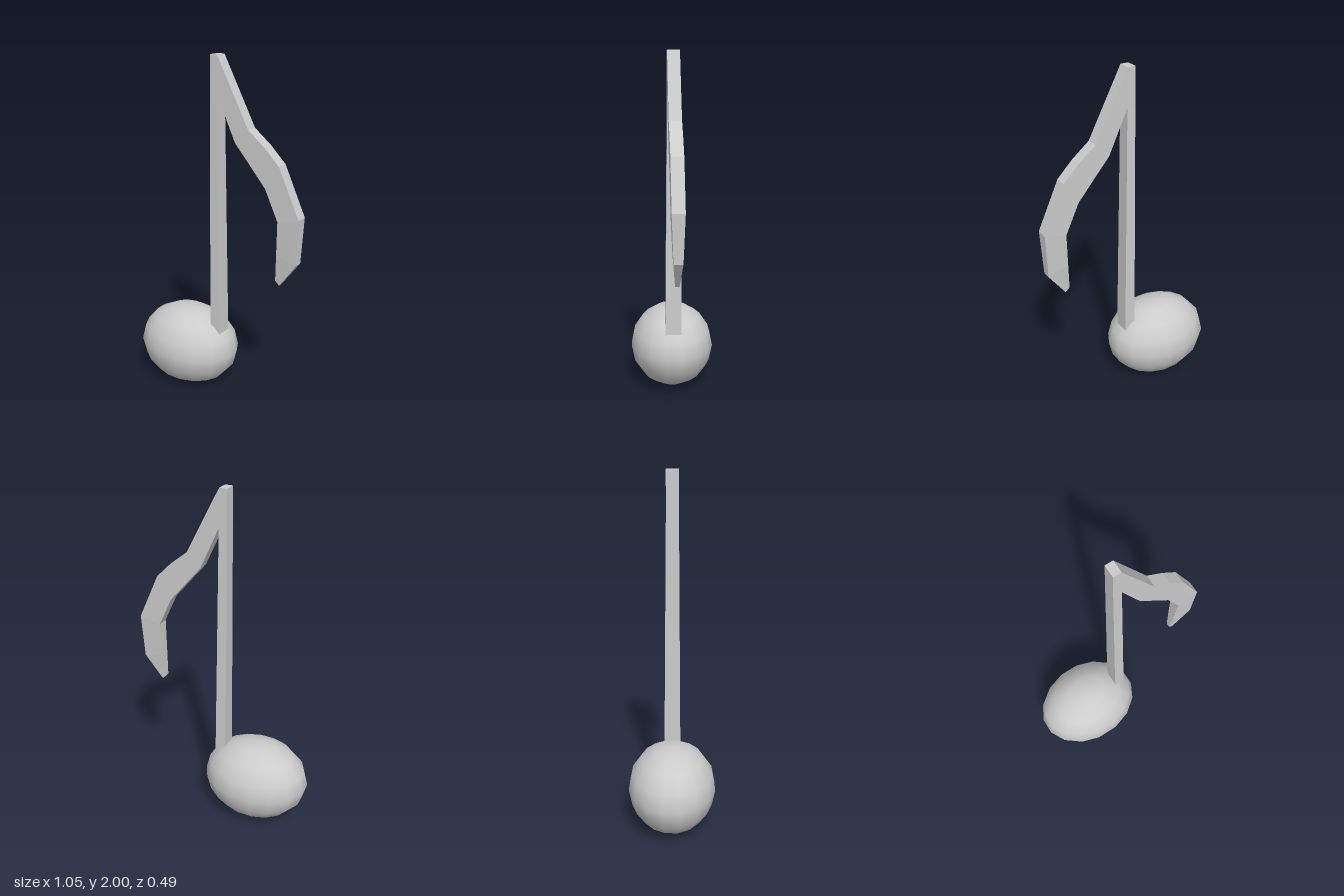
import * as THREE from 'three';

const material = new THREE.MeshStandardMaterial({ color: 0xcccccc });
const flatMaterial = new THREE.MeshStandardMaterial({ color: 0xcccccc, flatShading: true });

// Solid bar through rectangular sections [ax, ay, bx, by, halfDepth], with capped ends
function loft(name, sections) {
  const rings = sections.map(([ax, ay, bx, by, d]) =>
    [[ax, ay, d], [bx, by, d], [bx, by, -d], [ax, ay, -d]]);
  const positions = [];
  const quad = (a, b, c, d) => positions.push(...a, ...b, ...c, ...a, ...c, ...d);
  for (let i = 0; i < rings.length - 1; i++) {
    for (let j = 0; j < 4; j++) {
      const k = (j + 1) % 4;
      quad(rings[i][j], rings[i + 1][j], rings[i + 1][k], rings[i][k]);
    }
  }
  quad(...rings[0]);
  quad(...rings[rings.length - 1].slice().reverse());
  const geometry = new THREE.BufferGeometry();
  geometry.setAttribute('position', new THREE.Float32BufferAttribute(positions, 3));
  geometry.computeVertexNormals();
  const mesh = new THREE.Mesh(geometry, flatMaterial);
  mesh.name = name;
  return mesh;
}

export function createModel() {
  const model = new THREE.Group();
  model.name = 'musicalNote';

  // Oval note head
  const headGeometry = new THREE.SphereGeometry(1, 16, 8);
  headGeometry.rotateY(Math.PI / 16);
  headGeometry.scale(0.319, 0.248, 0.25);
  const head = new THREE.Mesh(headGeometry, material);
  head.name = 'noteHead';
  head.position.set(-0.213, 0.248, 0);
  model.add(head);

  // Stem, widening downwards and turning into the head
  model.add(loft('stem', [
    [-0.03, 2, 0.015, 2, 0.035],
    [-0.03, 1.79, 0.018, 1.79, 0.035],
    [-0.026, 0.42, 0.04, 0.385, 0.047],
    [-0.21, 0.38, -0.21, 0.3, 0.047],
  ]));

  // Curved flag, inner edge then outer edge, thinning at the tip
  model.add(loft('flag', [
    [0.018, 1.79, 0.015, 2, 0.035],
    [0.13, 1.55, 0.21, 1.63, 0.035],
    [0.2, 1.47, 0.31, 1.55, 0.035],
    [0.32, 1.33, 0.4, 1.46, 0.035],
    [0.4, 1.16, 0.525, 1.19, 0.035],
    [0.393, 0.96, 0.515, 0.93, 0.025],
    [0.385, 0.81, 0.41, 0.785, 0.012],
  ]));

  return model;
}
